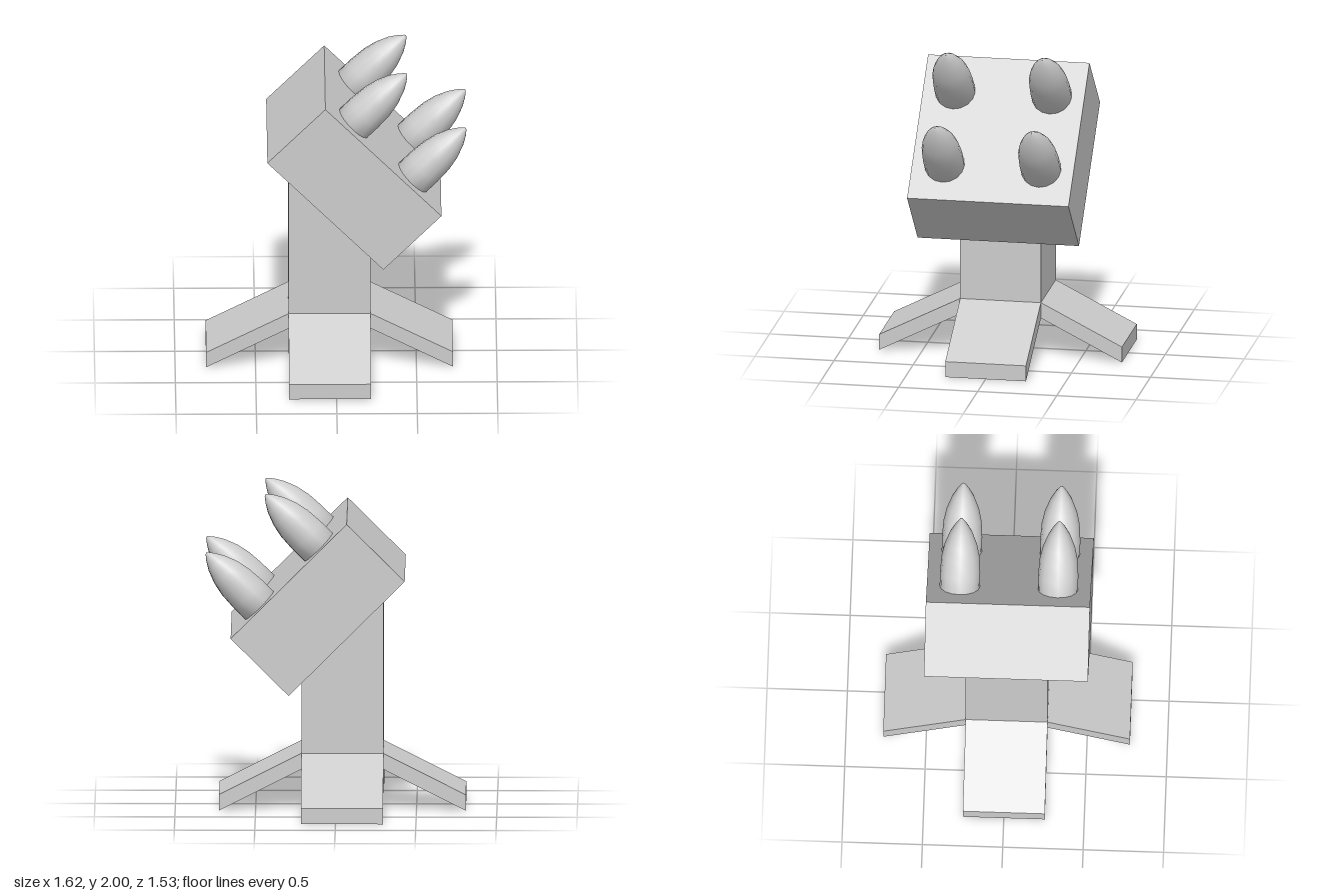
import * as THREE from 'three';

export function createModel() {
  const model = new THREE.Group();
  const grey = new THREE.MeshStandardMaterial({ color: 0xcccccc });
  const flat = new THREE.MeshStandardMaterial({ color: 0xcccccc, flatShading: true });

  const add = (parent, name, geometry, material = flat) => {
    const mesh = new THREE.Mesh(geometry, material);
    mesh.name = name;
    parent.add(mesh);
    return mesh;
  };

  // Square column with four sloping legs around its foot
  const half = 0.255;
  const stand = new THREE.Group();
  stand.name = 'stand';
  stand.position.x = -0.04;
  model.add(stand);
  add(stand, 'column', new THREE.BoxGeometry(2 * half, 1.14, 2 * half)).position.y = 0.83;

  const legSide = new THREE.Shape([
    new THREE.Vector2(half, 0.26), new THREE.Vector2(0.767, 0),
    new THREE.Vector2(0.767, 0.1), new THREE.Vector2(half, 0.36),
  ]);
  const legGeometry = new THREE.ExtrudeGeometry(legSide, { depth: 2 * half, bevelEnabled: false });
  legGeometry.translate(0, 0, -half);
  for (let i = 0; i < 4; i++) {
    add(stand, 'leg', legGeometry).rotation.y = i * Math.PI / 2;
  }

  // Tilted launcher: its own +y points along the firing direction
  const launcher = new THREE.Group();
  launcher.name = 'launcher';
  launcher.position.set(0.1125, 1.305, 0);
  launcher.rotation.z = -Math.PI / 4;
  model.add(launcher);
  add(launcher, 'launcherBox', new THREE.BoxGeometry(1.02, 0.51, 1.02));

  // Four pointed missiles standing out of the launcher's upper face
  const profile = [
    [0, -0.1], [0.125, -0.1], [0.125, 0.1], [0.118, 0.21], [0.1, 0.295],
    [0.069, 0.375], [0.036, 0.43], [0.01, 0.462], [0, 0.468],
  ].map(([r, h]) => new THREE.Vector2(r, h));
  const missileGeometry = new THREE.LatheGeometry(profile, 16);
  for (const x of [-0.26, 0.26]) {
    for (const z of [-0.305, 0.305]) {
      add(launcher, 'missile', missileGeometry, grey).position.set(x, 0.255, z);
    }
  }
  return model;
}
